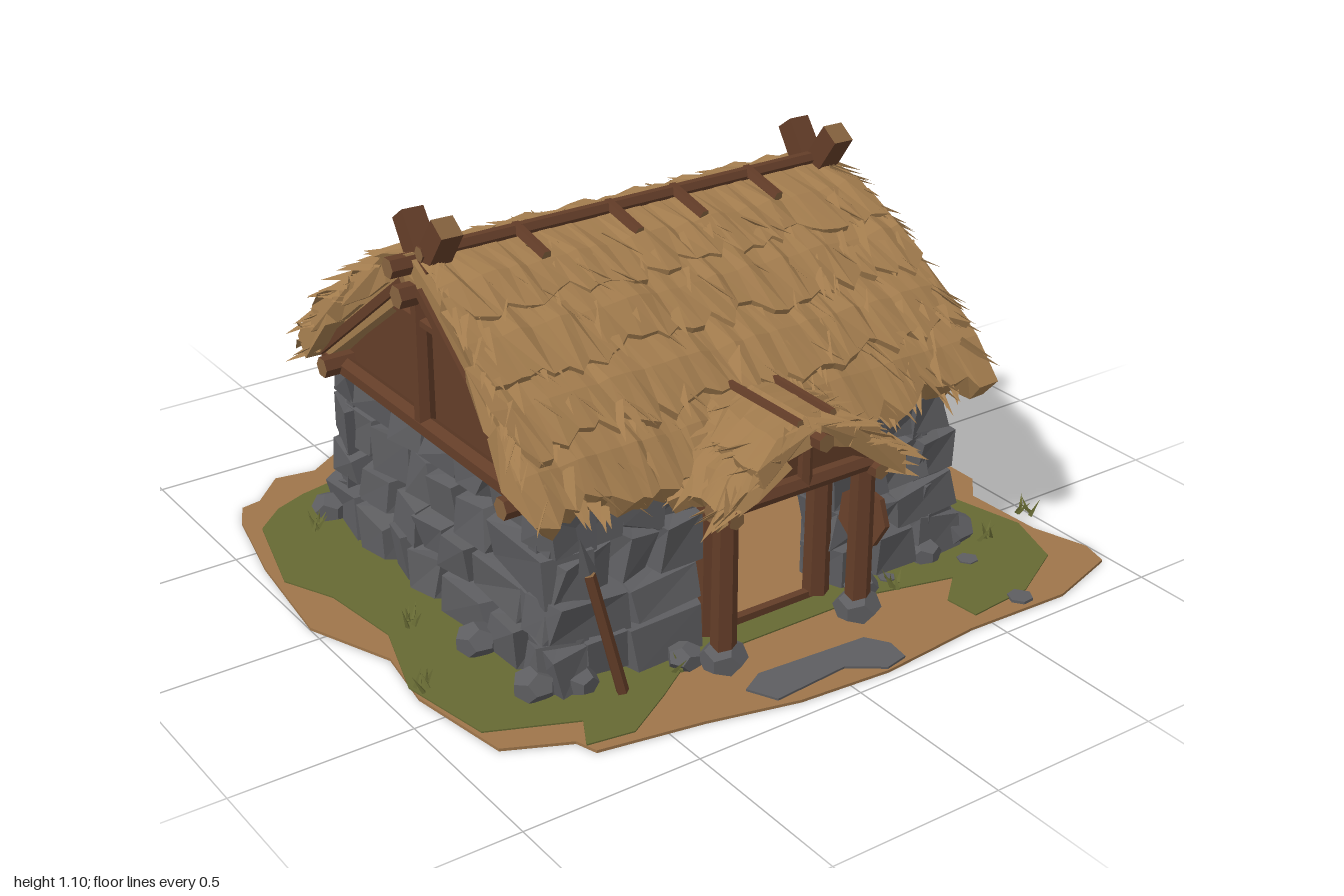
import * as THREE from 'three';
import { mergeGeometries } from 'three/addons/utils/BufferGeometryUtils.js';

const V = (x, y, z) => new THREE.Vector3(x, y, z);
const UP = V(0, 1, 0);
const RIDGE_Z = -0.05;

let seed = 7;
const rnd = (a = 0, b = 1) => {
  seed = (seed * 16807) % 2147483647;
  return a + (b - a) * (seed / 2147483647);
};

const paint = (name, color) => {
  const m = new THREE.MeshStandardMaterial({ color, flatShading: true });
  m.name = name;
  return m;
};

export function createModel() {
  const root = new THREE.Group();
  root.name = 'thatchedCottage';
  const thatch = paint('thatch', 0xa17b4d);
  const wood = paint('wood', 0x633d28);
  const cutWood = paint('cutWood', 0x86633f);
  const stone = paint('stone', 0x5d5d60);
  const dirt = paint('dirt', 0x9e754a);
  const grass = paint('grass', 0x666933);

  const add = (name, geo, mat, parent = root) => {
    const m = new THREE.Mesh(geo, mat);
    m.name = name;
    parent.add(m);
    return m;
  };
  const merge = (list) => {
    const g = mergeGeometries(list.map((s) => {
      const n = s.index ? s.toNonIndexed() : s;
      n.deleteAttribute('uv');
      n.deleteAttribute('normal');
      return n;
    }));
    g.computeVertexNormals();
    return g;
  };
  // round-hewn timber between two points, with pale cut ends
  const beam = (name, a, b, r, sides = 6) => {
    const d = b.clone().sub(a);
    const geo = new THREE.CylinderGeometry(r, r * 1.08, d.length(), sides);
    if (sides === 4) geo.rotateY(Math.PI / 4);
    const m = add(name, geo, [wood, cutWood, cutWood]);
    m.position.copy(a).add(b).multiplyScalar(0.5);
    m.quaternion.setFromUnitVectors(UP, d.normalize());
    return m;
  };

  // ground: flat plates from [x, z] outlines
  const plate = (name, pts, y, h, mat) => {
    const s = new THREE.Shape(pts.map(([x, z]) => new THREE.Vector2(x, -z)));
    const g = new THREE.ExtrudeGeometry(s, { depth: h, bevelEnabled: false });
    g.rotateX(-Math.PI / 2).translate(0, y, 0);
    return add(name, g, mat);
  };
  plate('ground', [[-.8, -.76], [-.7, -.86], [-.58, -.84], [-.47, -.91], [-.32, -.88], [-.1, -.94], [.3, -.97], [.73, -.91],
    [.83, -.82], [.84, -.76], [.9, -.58], [.93, -.32], [.9, -.05], [1, .05], [1, .32], [.93, .4], [.94, .64], [.99, .8],
    [.97, .88], [.75, .95], [.43, .94], [.12, .97], [-.15, .95], [-.4, .89], [-.69, .84], [-.71, .78], [-.88, .7],
    [-.93, .4], [-.9, .2], [-1, -.05], [-.96, -.4], [-.9, -.67], [-.86, -.75]], 0, 0.008, dirt);
  plate('grassPatch', [[-.78, -.68], [-.68, -.72], [-.4, -.78], [-.1, -.74], [.28, -.72], [.3, -.84], [.55, -.87], [.63, -.76],
    [.8, -.68], [.79, -.42], [.87, -.2], [.83, 0], [.92, .15], [.86, .35], [.92, .6], [.86, .78], [.68, .88], [.48, .9],
    [.47, .8], [.56, .72], [.32, .66], [-.3, .66], [-.42, .74], [-.57, .83], [-.7, .81], [-.65, .72], [-.88, .62],
    [-.93, .35], [-.85, .1], [-.88, -.15], [-.95, -.3], [-.87, -.6]], 0.008, 0.004, grass);
  plate('flagstones', [[-.24, .84], [-.17, .8], [.16, .82], [.2, .88], [.19, .95], [.12, .965], [.03, .9], [-.2, .92]], 0.008, 0.006, stone);
  [[.66, .67, .03], [.64, .9, .035], [.41, .62, .025]].forEach(([x, z, r]) =>
    plate('pebble', [0, 1, 2, 3, 4, 5].map((i) => [x + r * Math.cos(i), z + r * Math.sin(i)]), 0.008, 0.008, stone));
  plate('floor', [[-.6, -.55], [.6, -.55], [.6, .55], [-.6, .55]], 0.008, 0.01, dirt);

  // one bevelled, irregular stone
  const makeStone = (w, h, t) => {
    const g = new THREE.BoxGeometry(w, h, t);
    const p = g.attributes.position;
    const moved = {};
    for (let i = 0; i < p.count; i++) {
      const [x, y, z] = [p.getX(i), p.getY(i), p.getZ(i)];
      const k = [x > 0, y > 0, z > 0].join();
      const s = z > 0 ? 0.86 : 1.04;
      moved[k] ??= [x * s + rnd(-.02, .02), y * s + rnd(-.016, .016), z + (z > 0 ? rnd(-.022, .016) : 0)];
      p.setXYZ(i, ...moved[k]);
    }
    return g;
  };
  // courses of stone from u0 to u1, leaning and narrowing as they rise
  const wall = (name, u0, u1, angle, dist, lean) => {
    const parts = [];
    let y = 0.01;
    for (const h of [.13, .11, .13, .11]) {
      const narrow = 1.03 - .07 * (y + h / 2) / .49;
      let u = u0;
      while (u < u1 - .01) {
        let w = rnd(.1, .25);
        if (u1 - u - w < .09) w = u1 - u;
        const s = makeStone(w, h, .12);
        s.rotateZ(rnd(-.09, .09));
        s.translate((u + w / 2) * narrow, y + h / 2, dist - .06 - lean * (y + h / 2) / .49);
        const p = s.attributes.position;
        for (let i = 0; i < p.count; i++) p.setY(i, Math.max(.002, p.getY(i)));
        parts.push(s);
        u += w;
      }
      y += h;
    }
    parts.push(new THREE.BoxGeometry((u1 - u0) * .96, .47, .04).translate((u0 + u1) / 2, .24, dist - lean - .075));
    add(name, merge(parts), stone).rotation.y = angle;
  };
  wall('frontWallRight', -.65, -.18, 0, .62, .06);
  wall('frontWallLeft', .22, .67, 0, .62, .06);
  wall('backWall', -.67, .65, Math.PI, .61, .04);
  wall('leftWall', -.58, .59, Math.PI / 2, .7, .06);
  wall('rightWall', -.59, .58, -Math.PI / 2, .685, .065);

  // footing boulders
  [[-.69, .56, .06], [.69, .56, .07], [-.7, .3, .06], [.73, .27, .07], [.69, -.55, .06], [-.67, -.55, .06],
    [-.23, .73, .065], [.21, .73, .065], [-.3, .66, .05], [.3, .64, .05], [-.58, .6, .05], [.56, .6, .05]].forEach(([x, z, r]) => {
    const m = add('boulder', new THREE.DodecahedronGeometry(r), stone);
    m.position.set(x, r * .76, z);
    m.scale.y = .75;
    m.rotation.y = rnd(0, 3);
  });

  // thatch course: ragged slab running down from p0 to p1 ([distance, height])
  const thatchRow = (p0, p1, x0, x1, th) => {
    const n = Math.max(6, Math.round((x1 - x0) / .035));
    const pos = [], idx = [], R = 6;
    const len = Math.hypot(p1[0] - p0[0], p1[1] - p0[1]);
    const dir = [(p1[0] - p0[0]) / len, (p1[1] - p0[1]) / len];
    const nor = [-dir[1], dir[0]];
    for (let c = 0; c <= n; c++) {
      const ext = rnd(-.045, .03), bulge = rnd(0, .022);
      const ring = [[0, 0], [.55, bulge], [1, -.01], [1, -th], [.5, -th], [0, -th * .8]];
      ring.forEach(([t, o], j) => {
        const s = t * len + (t === 1 ? ext : 0);
        const end = c === 0 || c === n ? rnd(-.025, .025) : rnd(-.012, .012);
        pos.push(x0 + (x1 - x0) * c / n + end, p0[1] + dir[1] * s + nor[1] * o, p0[0] + dir[0] * s + nor[0] * o);
        const a = c * R + j, b = c * R + (j + 1) % R;
        if (c < n) idx.push(a, b, b + R, a, b + R, a + R);
      });
    }
    for (let j = 1; j < R - 1; j++) idx.push(0, j + 1, j, n * R, n * R + j, n * R + j + 1);
    const slab = new THREE.BufferGeometry();
    slab.setAttribute('position', new THREE.Float32BufferAttribute(pos, 3));
    slab.setIndex(idx);
    const parts = [slab];
    // flat tufts, rooted in the slab, along its lower edge, face and ends
    const tuft = (x, t, dx) => {
      const g = new THREE.ConeGeometry(rnd(.016, .03), rnd(.08, .14), 3).scale(1, 1, .4);
      const lift = rnd(.06, .22);
      const d = V(dx, dir[1] + nor[1] * lift, dir[0] + nor[0] * lift).normalize();
      g.applyQuaternion(new THREE.Quaternion().setFromUnitVectors(UP, d));
      const o = t > .8 ? rnd(-th, 0) : .004;
      parts.push(g.translate(x, p0[1] + dir[1] * len * t + nor[1] * o, p0[0] + dir[0] * len * t + nor[0] * o));
    };
    for (let i = 0; i < n * 1.4; i++) tuft(rnd(x0, x1), rnd(.86, 1), rnd(-.5, .5));
    for (let i = 0; i < n * .6; i++) tuft(rnd(x0, x1), rnd(.4, .8), rnd(-.4, .4));
    for (let i = 0; i < 7; i++) {
      tuft(x0, rnd(.2, 1), rnd(-.9, -.2));
      tuft(x1, rnd(.2, 1), rnd(.2, .9));
    }
    return merge(parts);
  };

  // main roof: four stepped courses on each slope
  const courses = [
    [[.46, .71], [.66, .54], .70, .73], [[.32, .81], [.56, .675], .69, .72],
    [[.16, .925], [.41, .795], .67, .71], [[.01, .985], [.25, .905], .64, .69]];
  for (const [name, turn, k] of [['frontThatch', 0, 1.04], ['backThatch', Math.PI, .94]]) {
    for (const [a, b, l, r] of courses) {
      const [x0, x1] = turn ? [-r, l] : [-l, r];
      const m = add(name, thatchRow([a[0] * k, a[1]], [b[0] * k, b[1]], x0, x1, .08), thatch);
      m.rotation.y = turn;
      m.position.z = RIDGE_Z;
    }
  }
  // profile in (z, y) extruded along x
  const alongX = (name, pts, x0, x1, mat) => {
    const s = new THREE.Shape(pts.map(([z, y]) => new THREE.Vector2(-z, y)));
    const g = new THREE.ExtrudeGeometry(s, { depth: x1 - x0, bevelEnabled: false });
    return add(name, g.rotateY(Math.PI / 2).translate(x0, 0, 0), mat);
  };
  alongX('thatchUnderlay', [[.57, .56], [.3, .77], [RIDGE_Z, .97], [-.37, .77], [-.61, .56], [-.57, .5], [RIDGE_Z, .885], [.53, .5]],
    -.65, .68, thatch);

  // gables with their timber framing
  for (const [x, s] of [[-.59, -1], [.61, 1]]) {
    alongX('gableBoards', [[.55, .48], [RIDGE_Z, .91], [-.58, .48]], x - .015, x + .015, wood);
    const f = x + s * .04;
    beam('tieBeam', V(f, .5, .53), V(f, .5, -.59), .028);
    beam('kingPost', V(f, .49, RIDGE_Z), V(f, .9, RIDGE_Z), .026);
    beam('collarBrace', V(f, .8, .08), V(f, .8, -.18), .016);
    for (const e of [-1, 1]) {
      beam('crossedRafter', V(f + s * .02, .52, RIDGE_Z + e * .54), V(f + s * .02, .9, RIDGE_Z + e * .04), .018, 4);
      const h = x + s * (s > 0 ? .04 : .015);
      beam('ridgeHorn', V(h, .86, RIDGE_Z - e * .05), V(h + .005, e > 0 ? 1.08 : 1.06, RIDGE_Z + e * .1), .045, 4);
    }
  }
  // logs running the length of the roof
  beam('ridgeLog', V(-.64, .99, -.03), V(.67, .99, -.03), .02);
  beam('ridgePole', V(-.71, .955, RIDGE_Z - .02), V(.73, .945, RIDGE_Z - .02), .027);
  beam('purlin', V(-.7, .88, RIDGE_Z), V(.71, .88, RIDGE_Z), .03);
  beam('frontEaveLog', V(-.72, .51, .47), V(.73, .51, .47), .028);
  beam('backEaveLog', V(-.7, .51, -.5), V(.72, .51, -.5), .028);
  for (const x of [-.35, -.06, .15, .4]) beam('thatchPeg', V(x, 1.0, -.04), V(x + .01, .96, .1), .016, 5);

  // porch: posts, door frame, gable and small thatched roof
  for (const x of [-.23, .21]) {
    beam('porchPost', V(x, .07, .73), V(x, .47, .73), .032);
    beam('porchPlate', V(x * 1.05, .47, .45), V(x * 1.05, .47, .79), .024);
  }
  for (const x of [-.16, .2]) beam('doorJamb', V(x, .02, .57), V(x, .47, .57), .034);
  beam('doorLintel', V(-.22, .46, .56), V(.26, .46, .56), .034);
  beam('doorSill', V(-.16, .02, .57), V(.2, .02, .57), .016, 4);
  beam('porchBeam', V(-.29, .485, .745), V(.29, .485, .745), .024);
  beam('porchKingPost', V(0, .48, .75), V(0, .6, .75), .018);
  for (const e of [-1, 1]) beam('porchRafter', V(e * .26, .49, .755), V(0, .605, .755), .016, 4);
  const gable = new THREE.Shape([[-.26, .48], [.26, .48], [0, .61]].map((p) => new THREE.Vector2(...p)));
  add('porchGable', new THREE.ExtrudeGeometry(gable, { depth: .02, bevelEnabled: false }).translate(0, 0, .71), wood);
  beam('porchRidgeLog', V(0, .61, .4), V(0, .63, .83), .025);
  beam('porchRidgePole', V(-.05, .675, .45), V(-.045, .675, .78), .012, 5);
  beam('porchRidgePole', V(.08, .665, .45), V(.075, .665, .76), .012, 5);
  for (const e of [-1, 1]) {
    for (const [a, b] of [[[.12, .625], [.32, .5]], [[0, .67], [.2, .615]]]) {
      const m = add('porchThatch', thatchRow(a, b, e > 0 ? -.8 : .4, e > 0 ? -.4 : .8, .06), thatch);
      m.rotation.y = e * Math.PI / 2;
    }
  }

  // spear and round shield beside the door
  beam('spearShaft', V(-.505, .02, .68), V(-.575, .36, .64), .016, 5);
  const head = add('spearHead', new THREE.ConeGeometry(.028, .11, 4), stone);
  head.position.set(-.587, .41, .634);
  head.rotation.z = .21;
  head.scale.z = .4;
  const shield = add('shield', new THREE.CylinderGeometry(.085, .085, .018, 7), wood);
  shield.rotation.set(0, .12, Math.PI / 2 - .15);
  shield.position.set(.28, .265, .66);

  // grass clumps
  const blades = [];
  for (const [x, z] of [[-.9, .38], [.47, -.9], [.78, -.55], [.97, .57], [-.32, .68], [.77, -.25], [.78, .6], [-.78, .1],
    [-.45, -.68], [.4, .68], [-.75, -.5], [.3, -.7]]) {
    for (let i = 0; i < 6; i++) {
      const g = new THREE.ConeGeometry(.007, rnd(.04, .07), 3).translate(0, .025, 0);
      blades.push(g.rotateZ(rnd(-.7, .7)).rotateX(rnd(-.7, .7)).translate(x + rnd(-.02, .02), .018, z + rnd(-.02, .02)));
    }
  }
  add('grassClumps', merge(blades), grass);
  return root;
}
